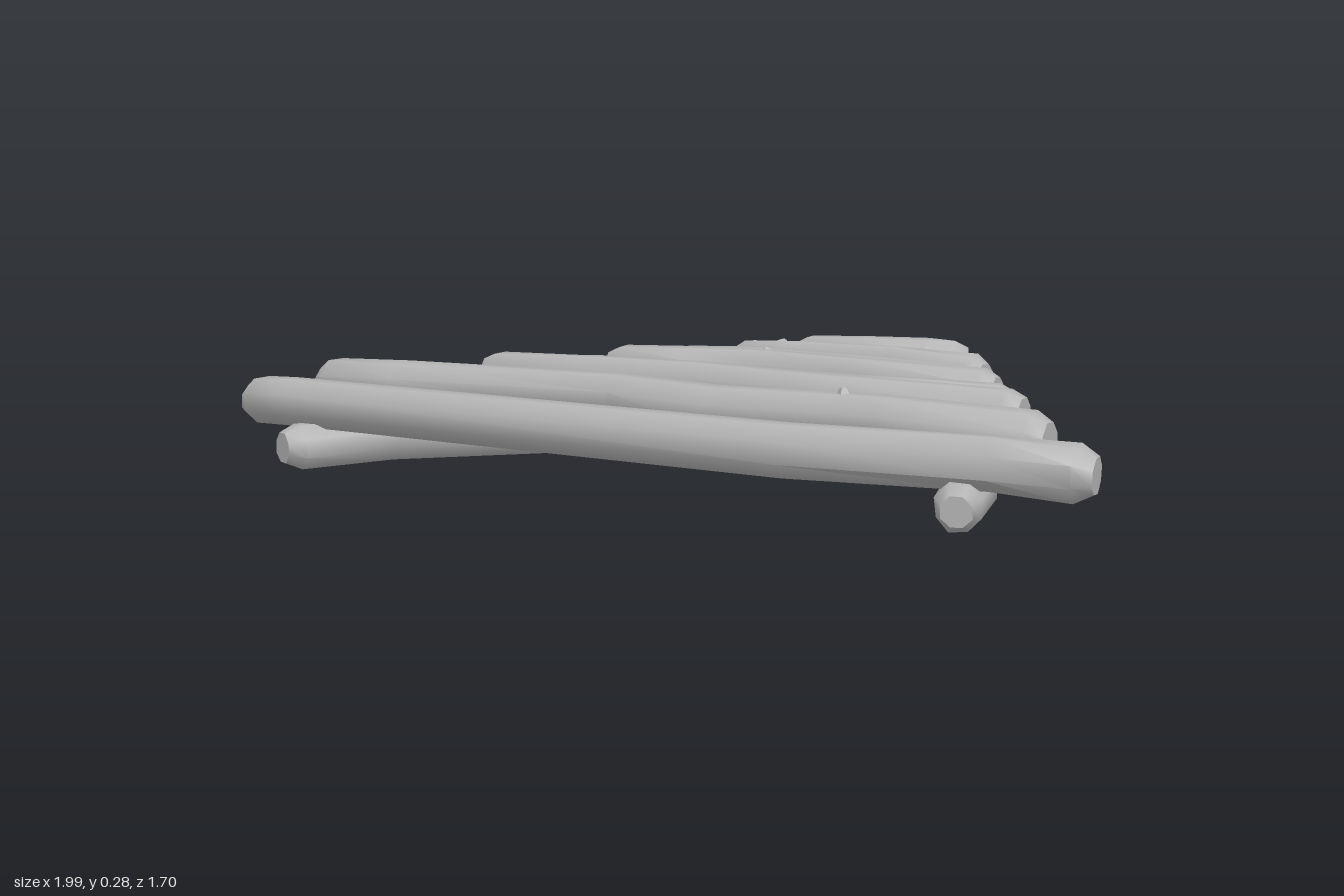
import * as THREE from 'three';
import { toCreasedNormals } from 'three/addons/utils/BufferGeometryUtils.js';

const SIDES = 8;

// Rough log: rings around a bent path of [x, y, z, radius], with bevelled ends
function logGeometry(path, seed) {
  const rnd = () => { seed = (seed * 16807) % 2147483647; return seed / 2147483647; };
  const pts = path.map(p => new THREE.Vector3(p[0], p[1], p[2]));
  const rad = path.map(p => p[3]);
  const n = pts.length;
  const rings = [];
  const bevel = 0.035;
  for (let i = 0; i < n; i++) {
    const dir = pts[Math.min(i + 1, n - 1)].clone().sub(pts[Math.max(i - 1, 0)]).normalize();
    if (i === n - 1) rings.push({ c: pts[i].clone().addScaledVector(dir, -bevel), dir, r: rad[i] });
    rings.push({ c: pts[i], dir, r: rad[i] * (i === 0 || i === n - 1 ? 0.68 : 1) });
    if (i === 0) rings.push({ c: pts[i].clone().addScaledVector(dir, bevel), dir, r: rad[i] });
  }
  const pos = [], idx = [];
  const up0 = new THREE.Vector3(0, 1, 0);
  for (const { c, dir, r } of rings) {
    const side = dir.clone().cross(up0).normalize();
    const up = side.clone().cross(dir);
    for (let j = 0; j < SIDES; j++) {
      const a = (j + 0.5) / SIDES * Math.PI * 2, k = r * (0.97 + 0.12 * rnd());
      const v = c.clone().addScaledVector(side, Math.cos(a) * k).addScaledVector(up, Math.sin(a) * k);
      pos.push(v.x, v.y, v.z);
    }
  }
  const m = rings.length;
  for (let i = 0; i < m - 1; i++) {
    for (let j = 0; j < SIDES; j++) {
      const a = i * SIDES + j, b = i * SIDES + (j + 1) % SIDES;
      idx.push(a, a + SIDES, b, b, a + SIDES, b + SIDES);
    }
  }
  // end caps
  const last = (m - 1) * SIDES, c0 = m * SIDES;
  for (const e of [rings[0], rings[m - 1]]) pos.push(e.c.x, e.c.y, e.c.z);
  for (let j = 0; j < SIDES; j++) {
    const k = (j + 1) % SIDES;
    idx.push(c0, j, k, c0 + 1, last + k, last + j);
  }
  const g = new THREE.BufferGeometry();
  g.setAttribute('position', new THREE.Float32BufferAttribute(pos, 3));
  g.setIndex(idx);
  return toCreasedNormals(g, 0.95);
}

export function createModel() {
  const group = new THREE.Group();
  const wood = new THREE.MeshStandardMaterial({ color: 0xb4b4b4 });
  wood.name = 'plain grey wood';

  const add = (name, geometry) => {
    const mesh = new THREE.Mesh(geometry, wood);
    mesh.name = name;
    group.add(mesh);
    return mesh;
  };

  // Two rails meeting in a point at the back
  add('rightRail', logGeometry([
    [-0.8, 0.1, 0.83, 0.05], [-0.7, 0.1, 0.6, 0.052], [-0.48, 0.07, 0.18, 0.052],
    [-0.2, 0.065, -0.42, 0.055], [-0.07, 0.055, -0.63, 0.055], [0.03, 0.06, -0.79, 0.045],
  ], 11));
  add('leftRail', logGeometry([
    [0.77, 0.11, 0.83, 0.045], [0.7, 0.11, 0.6, 0.05], [0.59, 0.1, 0.38, 0.05],
    [0.38, 0.1, 0.0, 0.06], [0.2, 0.125, -0.38, 0.062], [0.03, 0.135, -0.7, 0.066],
    [-0.06, 0.125, -0.83, 0.066],
  ], 23));

  // Crosswise rungs, front to back: paths of [x, z], height and radius
  const rungs = [
    [0.185, 0.052, [[-0.99, 0.71], [-0.85, 0.74], [0.4, 0.775], [0.8, 0.74], [0.99, 0.72]]],
    [0.215, 0.055, [[-0.88, 0.6], [-0.65, 0.605], [-0.12, 0.55], [0.14, 0.61], [0.5, 0.58], [0.85, 0.59]]],
    [0.175, 0.046, [[-0.76, 0.385], [-0.6, 0.41], [0.3, 0.45], [0.58, 0.41], [0.74, 0.38]]],
    [0.21, 0.053, [[-0.69, 0.25], [-0.38, 0.26], [-0.12, 0.245], [0.15, 0.27], [0.67, 0.27]]],
    [0.195, 0.046, [[-0.6, 0.09], [-0.48, 0.105], [0.22, 0.145], [0.42, 0.115], [0.57, 0.08]]],
    [0.21, 0.049, [[-0.52, -0.015], [-0.3, -0.02], [-0.1, -0.055], [0.13, -0.02], [0.49, -0.02]]],
    [0.19, 0.054, [[-0.44, -0.17], [-0.2, -0.195], [0.1, -0.17], [0.38, -0.155]]],
    [0.2, 0.053, [[-0.34, -0.32], [-0.18, -0.305], [0.1, -0.315], [0.35, -0.28]]],
    [0.2, 0.054, [[-0.25, -0.47], [-0.05, -0.475], [0.1, -0.495], [0.19, -0.54]]],
  ];
  rungs.forEach(([y, r, path], i) => {
    const last = path.length - 1;
    add('rung' + (i + 1), logGeometry(path.map(([x, z], k) =>
      [x, y - (k === 0 || k === last ? 0.008 : 0), z, r]), 101 + i * 37));
  });

  // Broken twig stubs: position, outward direction, height
  const stubs = [
    [[0.42, 0.25, 0.58], [0, 1, 0.1], 0.06],
    [[-0.36, 0.225, 0.225], [0, 0.6, -1], 0.07],
    [[-0.23, 0.225, -0.335], [0, 0.7, -1], 0.06],
    [[-0.13, 0.23, -0.08], [0, 1, -0.5], 0.06],
    [[-0.69, 0.13, 0.57], [0, 1, -0.4], 0.07],
    [[0.7, 0.08, 0.6], [0, -1, 0], 0.06],
    [[0.12, 0.1, -0.4], [-0.8, 0.2, 0.2], 0.08],
  ];
  for (const [p, d, h] of stubs) {
    const g = new THREE.CylinderGeometry(0.008, 0.045, h, 5).toNonIndexed();
    g.computeVertexNormals();
    const stub = add('twigStub', g);
    stub.position.set(...p);
    stub.quaternion.setFromUnitVectors(new THREE.Vector3(0, 1, 0), new THREE.Vector3(...d).normalize());
  }
  return group;
}
